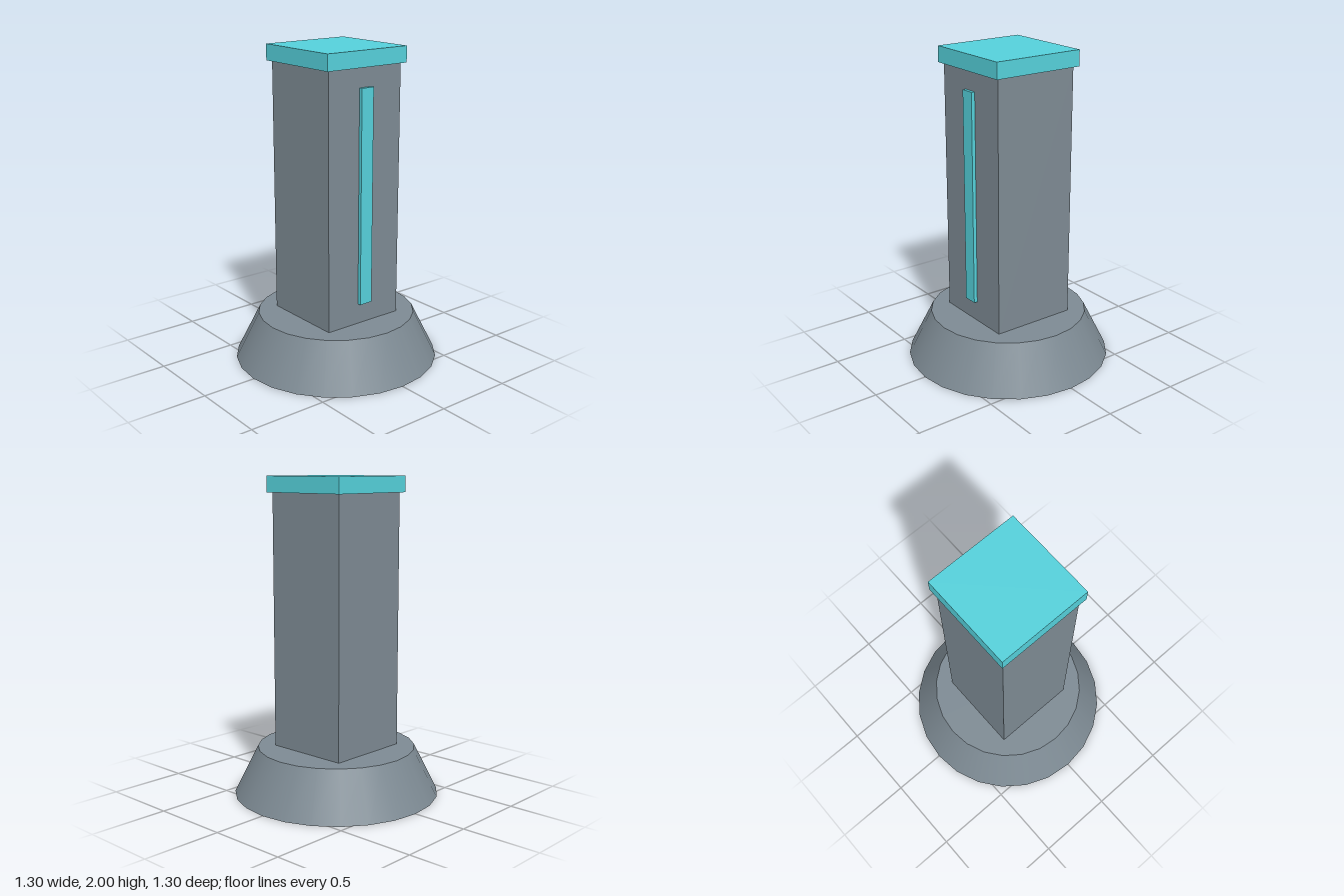
import * as THREE from 'three';

export function createModel() {
  const model = new THREE.Group();
  const slate = new THREE.MeshStandardMaterial({ color: 0x7d8a93 });
  const cyan = new THREE.MeshStandardMaterial({ color: 0x55d0da });

  // Adds a named part centred at (0, y, z)
  const addPart = (name, geometry, material, y, z = 0) => {
    const mesh = new THREE.Mesh(geometry, material);
    mesh.name = name;
    mesh.position.set(0, y, z);
    model.add(mesh);
  };

  // Tapered round foot
  addPart('base', new THREE.CylinderGeometry(0.5, 0.65, 0.3, 24), slate, 0.15);
  // Square pillar standing on the foot
  addPart('column', new THREE.BoxGeometry(0.55, 1.6, 0.55), slate, 1.1);
  // Overhanging square lid
  addPart('cap', new THREE.BoxGeometry(0.6, 0.1, 0.6), cyan, 1.95);
  // Raised vertical strip on the front face
  addPart('frontStrip', new THREE.BoxGeometry(0.09, 1.35, 0.04), cyan, 1.105, 0.278);

  return model;
}
